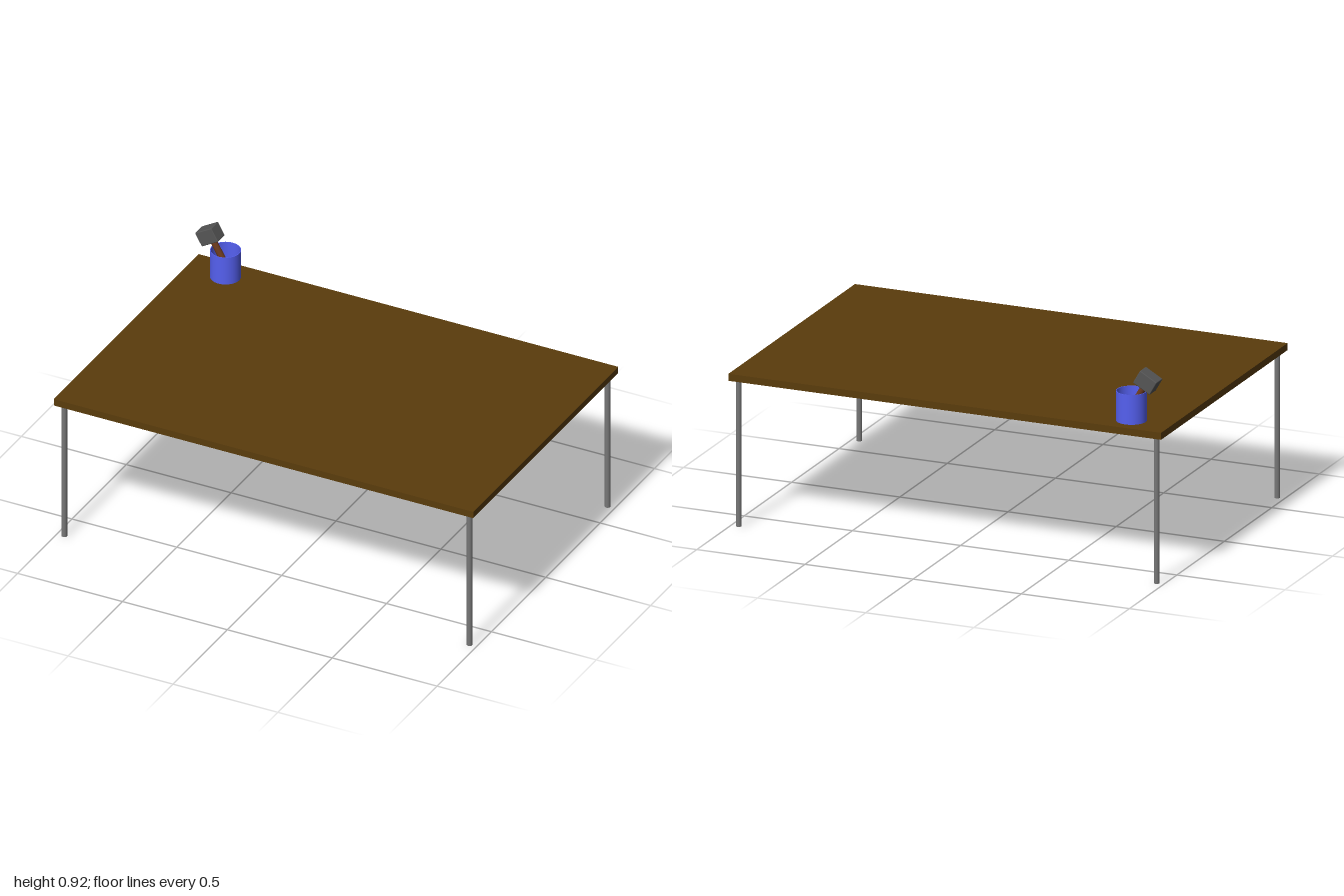
import * as THREE from 'three';
import { RoundedBoxGeometry } from 'three/addons/geometries/RoundedBoxGeometry.js';

const material = (color, side = THREE.FrontSide) => new THREE.MeshStandardMaterial({ color, side });

function addMesh(parent, name, geometry, mat, x = 0, y = 0, z = 0) {
  const mesh = new THREE.Mesh(geometry, mat);
  mesh.name = name;
  mesh.position.set(x, y, z);
  parent.add(mesh);
  return mesh;
}

export function createModel() {
  const model = new THREE.Group();
  model.name = 'tableWithMallet';
  const wood = material(0x5a3c0c);
  const metal = material(0x777777);
  const blue = material(0x5560f0, THREE.DoubleSide);
  const darkGrey = material(0x555555);
  const handleWood = material(0x6b3a1e);

  // Table top
  const legHeight = 0.652, topThickness = 0.031;
  const topY = legHeight + topThickness;
  addMesh(model, 'tableTop', new THREE.BoxGeometry(2, topThickness, 1.334), wood,
    0, legHeight + topThickness / 2, 0);

  // Four round legs
  const legGeometry = new THREE.CylinderGeometry(0.0125, 0.0125, legHeight, 24);
  for (const sx of [-1, 1]) {
    for (const sz of [-1, 1]) {
      const name = (sz > 0 ? 'front' : 'back') + (sx > 0 ? 'Left' : 'Right') + 'Leg';
      addMesh(model, name, legGeometry, metal, sx * 0.966, legHeight / 2, sz * 0.635);
    }
  }

  // Open cup: outer wall, rim, inner wall and floor; doubled points keep the edges sharp
  const r = 0.066, h = 0.132, wall = 0.003;
  const profile = [
    [0, 0], [r, 0], [r, 0], [r, h], [r, h], [r - wall, h], [r - wall, h],
    [r - wall, wall], [r - wall, wall], [0, wall],
  ].map(([x, y]) => new THREE.Vector2(x, y));
  addMesh(model, 'cup', new THREE.LatheGeometry(profile, 40), blue, -0.815, topY, -0.557);

  // Mallet leaning in the cup: origin at the head centre, handle along local -y
  const mallet = new THREE.Group();
  mallet.name = 'mallet';
  mallet.position.set(-0.892, 0.869, -0.561);
  mallet.rotation.z = Math.PI / 6;
  addMesh(mallet, 'malletHead', new RoundedBoxGeometry(0.09, 0.067, 0.065, 2, 0.004), darkGrey);
  const handleLength = 0.21;
  addMesh(mallet, 'malletHandle', new THREE.CylinderGeometry(0.0145, 0.0145, handleLength, 24),
    handleWood, 0, -handleLength / 2, 0);
  model.add(mallet);

  return model;
}
